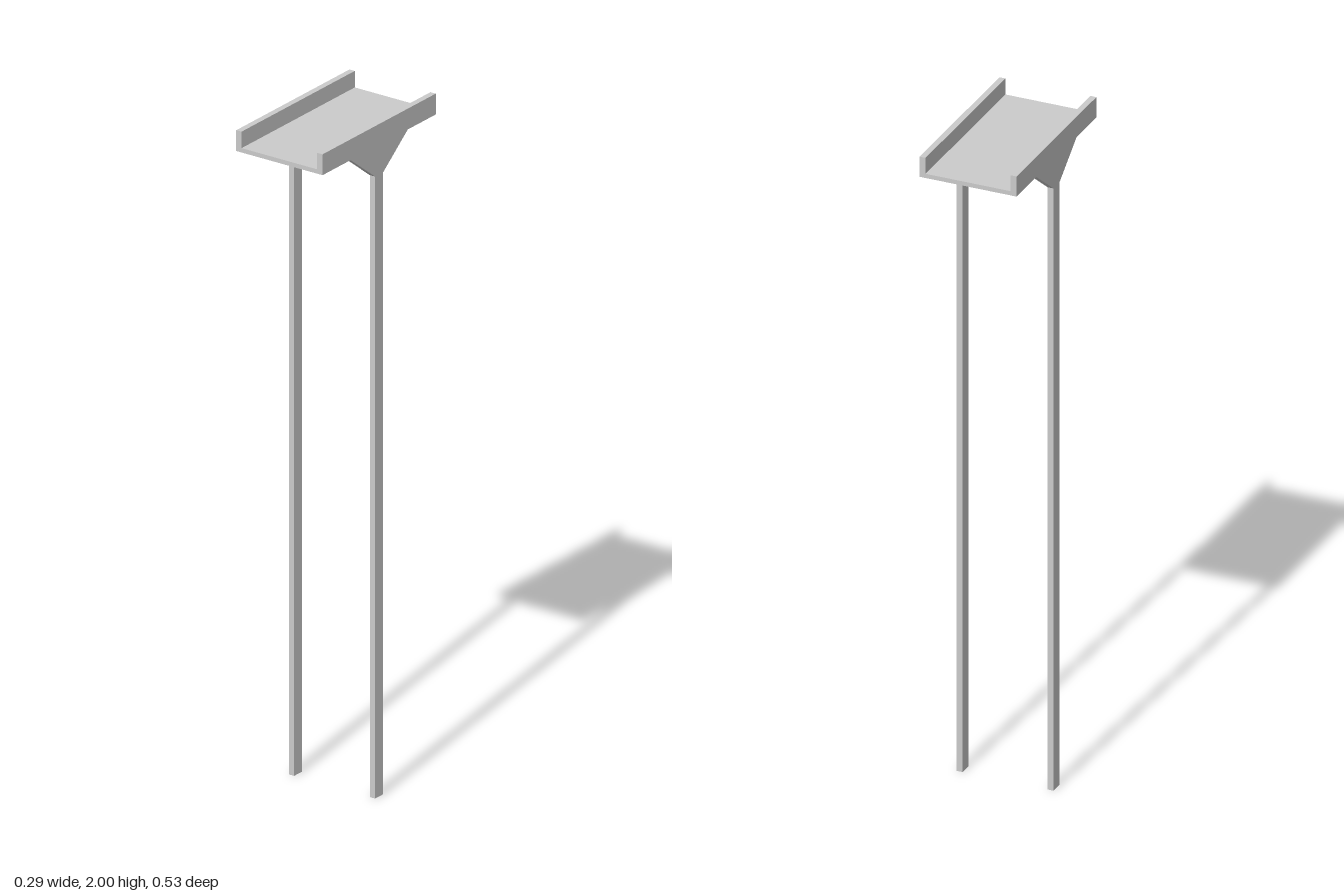
import * as THREE from 'three';

const INNER = 0.128, OUTER = 0.146; // side plate faces in x
const HALF_LENGTH = 0.265;          // half the tray length in z
const TRAY_BOTTOM = 1.938;

export function createModel() {
  const model = new THREE.Group();
  model.name = 'trayOnPosts';
  const material = new THREE.MeshStandardMaterial({ color: 0xcccccc, flatShading: true });

  // Side frame outline (z, y): post, flared bracket and tray wall in one plate
  const half = [[0.019, 0], [0.019, 1.85], [0.134, TRAY_BOTTOM], [HALF_LENGTH, TRAY_BOTTOM], [HALF_LENGTH, 2]];
  const outline = [...half, ...half.map(([z, y]) => [-z, y]).reverse()];
  const shape = new THREE.Shape(outline.map(([z, y]) => new THREE.Vector2(z, y)));
  const frameGeometry = new THREE.ExtrudeGeometry(shape, { depth: OUTER - INNER, bevelEnabled: false });
  frameGeometry.translate(0, 0, -(OUTER - INNER) / 2);
  frameGeometry.rotateY(Math.PI / 2);

  for (const [name, side] of [['leftSideFrame', 1], ['rightSideFrame', -1]]) {
    const frame = new THREE.Mesh(frameGeometry, material);
    frame.name = name;
    frame.position.x = side * (INNER + OUTER) / 2;
    model.add(frame);
  }

  // Tray floor between the two frames, flush with the lower edge of the walls
  const thickness = 0.013;
  const floor = new THREE.Mesh(new THREE.BoxGeometry(INNER * 2, thickness, HALF_LENGTH * 2), material);
  floor.name = 'trayFloor';
  floor.position.y = TRAY_BOTTOM + thickness / 2;
  model.add(floor);

  return model;
}
